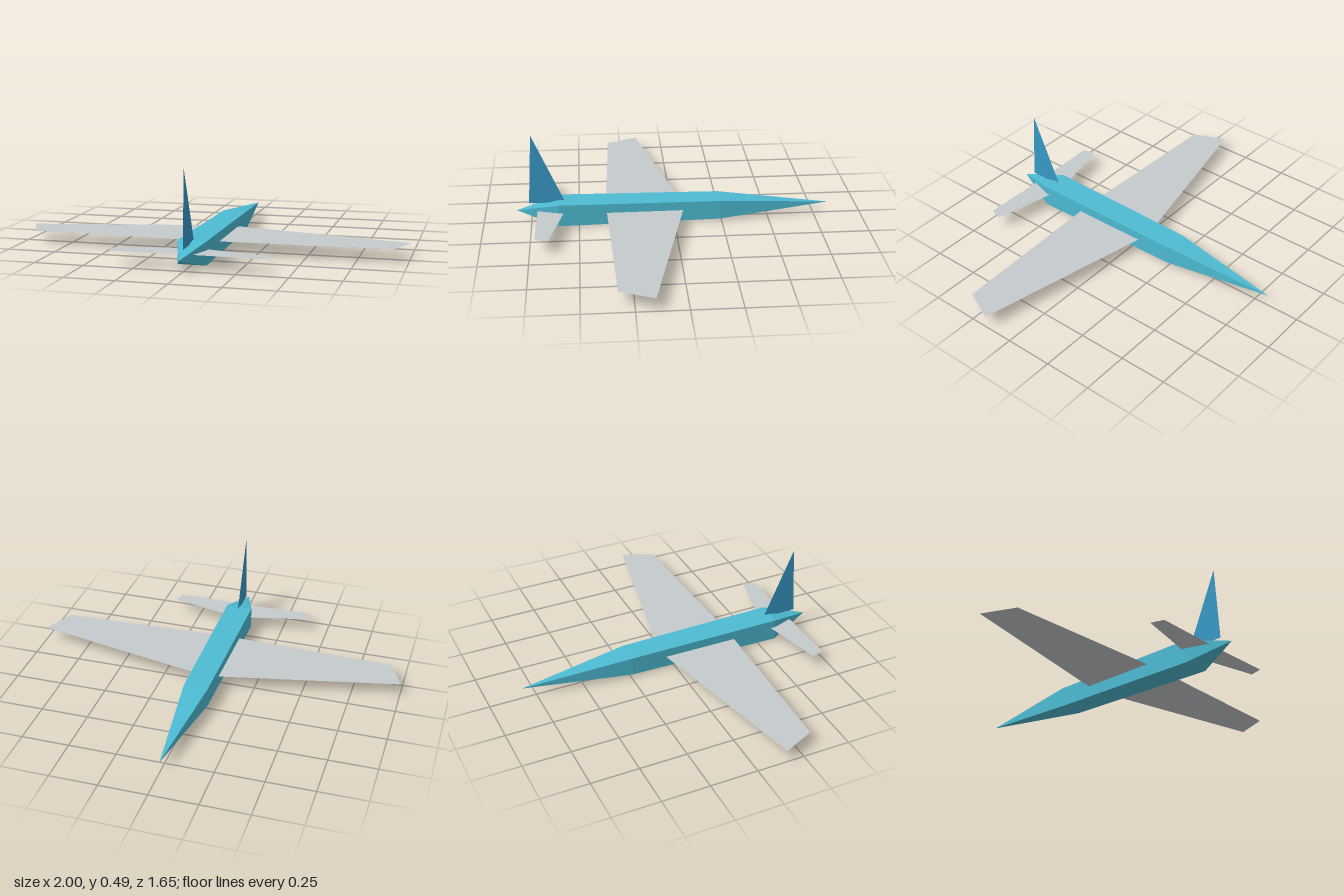
import * as THREE from 'three';

const paint = (name, color, side = THREE.FrontSide) =>
  Object.assign(new THREE.MeshStandardMaterial({ color, side }), { name });

// Flat sheet from a convex outline of [x, y, z] corners
function sheet(name, corners, material) {
  const tris = [];
  for (let i = 1; i < corners.length - 1; i++) tris.push(...corners[0], ...corners[i], ...corners[i + 1]);
  const geo = new THREE.BufferGeometry();
  geo.setAttribute('position', new THREE.Float32BufferAttribute(tris, 3));
  geo.computeVertexNormals();
  const mesh = new THREE.Mesh(geo, material);
  mesh.name = name;
  return mesh;
}

// Square-sided body lofted through [z, half width, bottom, top] stations
function loftBody(stations) {
  const rings = stations.map(([z, w, lo, hi]) => [[-w, lo, z], [w, lo, z], [w, hi, z], [-w, hi, z]]);
  const tris = [];
  for (let s = 0; s < rings.length - 1; s++) {
    for (let i = 0; i < 4; i++) {
      const j = (i + 1) % 4;
      const [a, b, c, d] = [rings[s][i], rings[s][j], rings[s + 1][j], rings[s + 1][i]];
      if (stations[s][1] > 0) tris.push(...a, ...b, ...c, ...a, ...c, ...d);
      else tris.push(...a, ...c, ...d);
      // A pointed end needs only one triangle per side
      if (stations[s + 1][1] === 0) tris.splice(-9);
    }
  }
  const geo = new THREE.BufferGeometry();
  geo.setAttribute('position', new THREE.Float32BufferAttribute(tris, 3));
  geo.computeVertexNormals();
  return geo;
}

export function createModel() {
  const model = new THREE.Group();
  model.name = 'airplane';
  const cyan = paint('cyanBody', 0x4dbbd2);
  const blue = paint('blueFin', 0x3799c6, THREE.DoubleSide);
  const grey = paint('greyWings', 0xc5cacc, THREE.DoubleSide);

  // Fuselage, from pointed nose to pointed tail
  const fuselage = new THREE.Mesh(loftBody([
    [-0.825, 0, 0.06, 0.06],
    [-0.24, 0.064, 0.01, 0.112],
    [0.605, 0.072, 0, 0.118],
    [0.825, 0, 0.067, 0.067],
  ]), cyan);
  fuselage.name = 'fuselage';
  model.add(fuselage);

  // Mirrored wings and tailplanes
  for (const [side, s] of [['left', 1], ['right', -1]]) {
    const plan = (y, pts) => {
      const corners = pts.map(([x, z]) => [s * x, y, z]);
      return s > 0 ? corners.reverse() : corners; // keep the face upward
    };
    model.add(sheet(side + 'Wing', plan(0.067, [[0, -0.06], [1, 0.155], [0.925, 0.325], [0, 0.357]]), grey));
    model.add(sheet(side + 'Tailplane', plan(0.074, [[0, 0.563], [0.396, 0.655], [0.375, 0.722], [0, 0.716]]), grey));
  }

  // Upright fin
  model.add(sheet('tailFin', [[0, 0.105, 0.57], [0, 0.485, 0.737], [0, 0.105, 0.76]], blue));
  return model;
}
